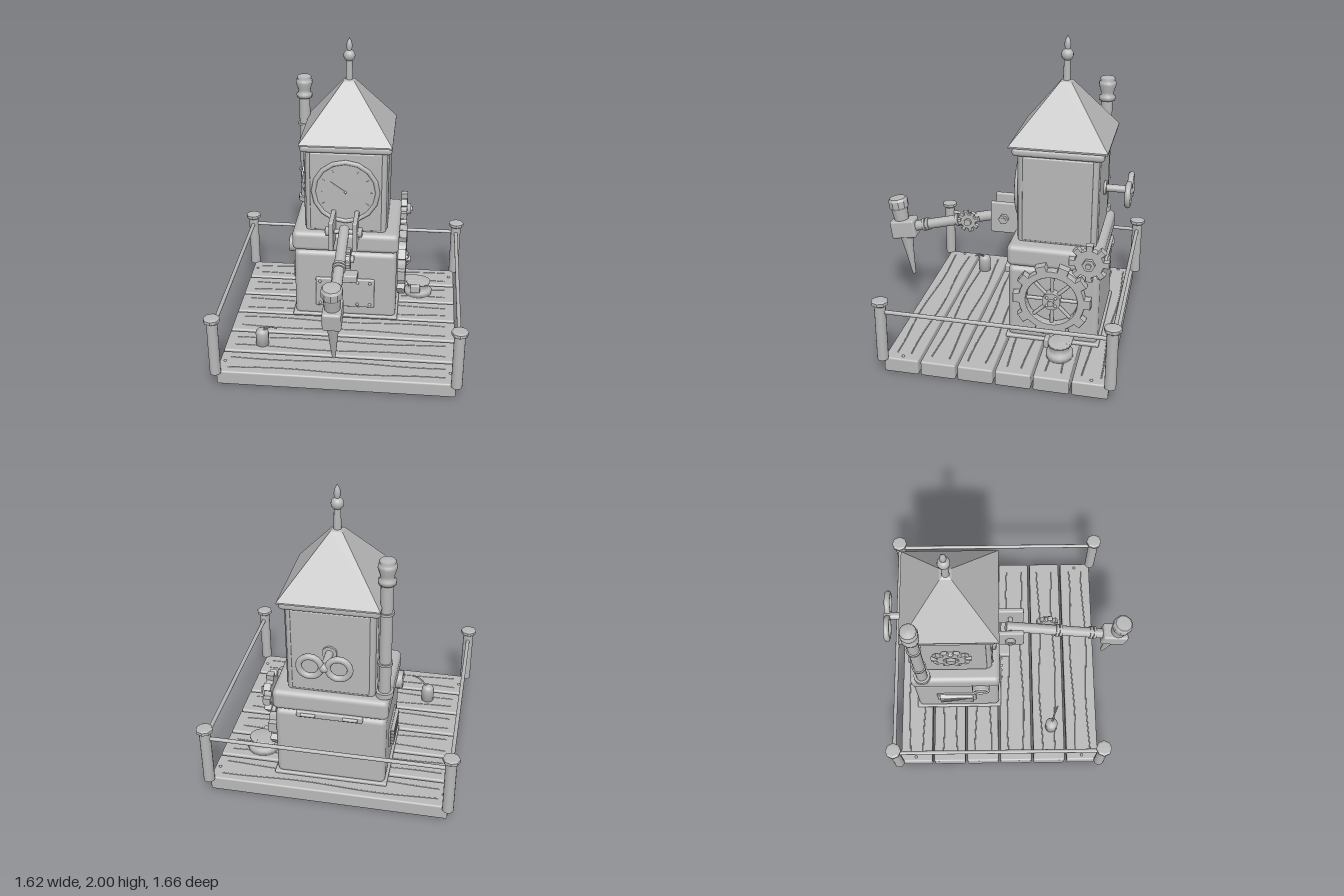
import * as THREE from 'three';
import { RoundedBoxGeometry } from 'three/addons/geometries/RoundedBoxGeometry.js';

export function createModel() {
  const root = new THREE.Group();
  const grey = new THREE.MeshStandardMaterial({ color: 0xb8b8b8 });
  grey.name = 'clay grey';

  // ---- helpers ----
  const add = (name, geo, x = 0, y = 0, z = 0, parent = root) => {
    const m = new THREE.Mesh(geo, grey);
    m.name = name;
    m.position.set(x, y, z);
    parent.add(m);
    return m;
  };
  const flat = g => {
    const n = g.toNonIndexed();
    n.computeVertexNormals();
    return n;
  };
  const rbox = (w, h, d, r = 0.012) => new RoundedBoxGeometry(w, h, d, 3, r);
  const cyl = (r, h, n = 16, r2 = r) => new THREE.CylinderGeometry(r2, r, h, n);
  const cylX = (r, h, n = 16) => cyl(r, h, n).rotateZ(Math.PI / 2);
  const cylZ = (r, h, n = 16) => cyl(r, h, n).rotateX(Math.PI / 2);
  const lathe = (pts, n, phi = 0) =>
    new THREE.LatheGeometry(pts.map(p => new THREE.Vector2(p[0], p[1])), n, phi);
  const tube = (pts, r, n = 16, s = 6) =>
    new THREE.TubeGeometry(new THREE.CatmullRomCurve3(pts.map(p => new THREE.Vector3(...p))), n, r, s);

  // toothed wheel lying across the x axis, centred on its thickness
  const gear = (rRoot, rTip, teeth, thick, hole) => {
    const s = new THREE.Shape(), step = Math.PI * 2 / teeth;
    for (let i = 0; i < teeth; i++) {
      [[-0.5, rRoot], [-0.24, rRoot], [-0.2, rTip], [0.2, rTip], [0.24, rRoot]].forEach(([f, r], k) => {
        const a = (i + f) * step;
        s[i + k ? 'lineTo' : 'moveTo'](Math.cos(a) * r, Math.sin(a) * r);
      });
    }
    s.closePath();
    if (hole) s.holes.push(new THREE.Path().absarc(0, 0, hole, 0, Math.PI * 2, true));
    const g = new THREE.ExtrudeGeometry(s, {
      depth: thick - 0.012, bevelThickness: 0.006, bevelSize: 0.004, bevelSegments: 1, curveSegments: 16
    });
    return g.translate(0, 0, -(thick - 0.012) / 2).rotateY(Math.PI / 2);
  };

  // ---- deck: planks, grain, nails ----
  for (let i = 0; i < 6; i++) {
    const z = 0.517 - i * 0.2346;
    add('plank', rbox(1.51, 0.1, 0.22), 0, 0.05, z);
    [-0.05, 0.052].forEach((dz, k) => {
      const pts = [];
      for (let j = 0; j <= 12; j++) {
        pts.push([-0.69 + j * 0.115, 0.1, z + dz + 0.009 * Math.sin(j * 0.75 + i * 1.7 + k * 2.4)]);
      }
      add('woodGrain', tube(pts, 0.004, 36, 5));
    });
  }
  for (const x of [-0.72, 0.72]) for (const z of [-0.66, 0.513])
    add('nail', new THREE.SphereGeometry(0.01, 8, 6), x, 0.1, z);

  // ---- corner posts and rails (open at the front) ----
  for (const x of [-0.757, 0.757]) {
    for (const z of [-0.777, 0.632]) {
      add('railPost', cyl(0.035, 0.38, 16), x, 0.285, z);
      add('postCap', flat(lathe([[0, 0.468], [0.036, 0.468], [0.053, 0.48], [0.053, 0.5], [0.04, 0.506], [0, 0.507]], 8)), x, 0, z);
    }
    add('sideRail', cylZ(0.013, 1.41, 10), x, 0.425, -0.072);
  }
  add('backRail', cylX(0.013, 1.51, 10), 0, 0.425, -0.777);

  // ---- tower ----
  const cz = -0.355;
  add('footing', rbox(0.72, 0.025, 0.6, 0.01), 0, 0.11, cz);
  add('base', rbox(0.69, 0.5, 0.575, 0.035), 0, 0.355, cz);
  add('shoulder', rbox(0.715, 0.14, 0.595, 0.035), 0, 0.68, cz);
  add('clockRoom', rbox(0.535, 0.62, 0.495, 0.03), 0, 1.04, cz);
  add('frontPanel', rbox(0.47, 0.55, 0.51, 0.01), 0, 1.035, cz);
  add('sidePanel', rbox(0.555, 0.55, 0.43, 0.01), 0, 1.035, cz);
  add('cornice', rbox(0.595, 0.055, 0.56, 0.024), 0, 1.342, cz);
  add('roof', flat(lathe([[0, 1.366], [0.424, 1.366], [0.424, 1.376], [0.05, 1.72], [0, 1.735]], 4, Math.PI / 4)), 0, 0, cz);
  add('finialRod', cyl(0.024, 0.16, 12, 0.02), 0, 1.78, cz);
  add('finialBall', new THREE.SphereGeometry(0.038, 14, 10), 0, 1.882, cz);
  add('finialSpike', lathe([[0.012, 1.905], [0.021, 1.94], [0.016, 1.97], [0, 2]], 10), 0, 0, cz);

  // ---- clock ----
  const clock = new THREE.Group();
  clock.name = 'clock';
  clock.position.set(0, 1.045, -0.095);
  root.add(clock);
  add('clockFace', cylZ(0.21, 0.014, 16), 0, 0, 0, clock);
  add('bezel', new THREE.TorusGeometry(0.21, 0.016, 8, 16), 0, 0, 0.004, clock);
  for (let i = 0; i < 12; i++) {
    const a = i * Math.PI / 6;
    add('hourMark', new THREE.BoxGeometry(0.022, 0.004, 0.004), Math.cos(a) * 0.165, Math.sin(a) * 0.165, 0.008, clock).rotation.z = a;
  }
  add('clockHand', new THREE.BoxGeometry(0.12, 0.008, 0.005), -0.05, 0.035, 0.009, clock).rotation.z = -0.61;
  add('clockPin', new THREE.SphereGeometry(0.009, 8, 6), 0, 0, 0.009, clock);

  // ---- front access plate and ledge ----
  add('accessPlate', rbox(0.4, 0.22, 0.025, 0.01), 0, 0.3, -0.063);
  for (const x of [-0.17, -0.085, 0.085, 0.17]) for (const y of [0.215, 0.385])
    add('plateBolt', new THREE.SphereGeometry(0.011, 8, 6), x, y, -0.05);
  add('ledge', rbox(0.175, 0.055, 0.085, 0.01), 0, 0.446, -0.03);

  // ---- hammer arm ----
  for (const s of [-1, 1]) {
    add('armBracket', rbox(0.03, 0.21, 0.195, 0.01), s * 0.077, 0.812, 0.007);
    add('pivotNut', cylX(0.032, 0.03, 6), s * 0.105, 0.81, 0.015);
  }
  add('pivotPin', cylX(0.016, 0.25, 10), 0, 0.81, 0.015);
  const arm = new THREE.Group();
  arm.name = 'hammerArm';
  arm.position.set(0, 0.81, 0.015);
  arm.rotation.x = 0.245;
  root.add(arm);
  add('armRod', cylZ(0.034, 0.72, 14), 0, 0, 0.33, arm);
  for (const z of [0.32, 0.345, 0.56, 0.585])
    add('armCollar', cylZ(0.043, 0.018, 14), 0, 0, z, arm);
  add('armGear', gear(0.048, 0.07, 8, 0.03), 0.052, 0.002, 0.255, arm);
  add('armGearHub', cylX(0.024, 0.025, 8), 0.075, 0.002, 0.255, arm);

  const head = new THREE.Group();
  head.name = 'hammerHead';
  head.position.set(0, 0.635, 0.722);
  head.rotation.x = 0.15;
  root.add(head);
  add('headBlock', rbox(0.115, 0.125, 0.17, 0.015), 0, 0, 0, head);
  add('headNeck', cyl(0.048, 0.1, 12, 0.056), 0, 0.1, 0.012, head);
  add('headCap', flat(lathe([[0, 0.14], [0.056, 0.14], [0.066, 0.155], [0.066, 0.2], [0.055, 0.215], [0, 0.217]], 10)), 0, 0, 0.012, head);
  add('spike', lathe([[0, -0.36], [0.012, -0.34], [0.03, -0.17], [0.045, -0.055]], 10), 0, 0, 0, head);

  // ---- gears on the left wall ----
  const bz = -0.355, by = 0.42;
  add('largeGear', gear(0.205, 0.243, 10, 0.055, 0.165), 0.377, by, bz);
  add('gearHub', cylX(0.058, 0.06, 14), 0.38, by, bz);
  add('gearAxle', cylX(0.02, 0.1, 10), 0.385, by, bz);
  for (let i = 0; i < 8; i++) {
    const a = i * Math.PI / 4;
    const sp = add('spoke', cyl(0.012, 0.13, 8), 0.375, by + Math.cos(a) * 0.112, bz + Math.sin(a) * 0.112);
    sp.rotation.x = a;
    if (i % 2) add('hubBolt', new THREE.SphereGeometry(0.01, 8, 6), 0.412, by + Math.cos(a) * 0.038, bz + Math.sin(a) * 0.038);
  }
  add('smallGear', gear(0.088, 0.122, 8, 0.045), 0.375, 0.7, -0.58);
  add('smallGearHub', cylX(0.04, 0.035, 6), 0.405, 0.7, -0.58);
  add('smallGearAxle', cylX(0.018, 0.14, 10), 0.365, 0.7, -0.58);
  add('wallStud', cylX(0.02, 0.05, 8), 0.355, 0.61, -0.645);

  // ---- right wall: vent, gauge, dial gear ----
  add('ventFrame', rbox(0.016, 0.14, 0.27, 0.006), -0.348, 0.355, -0.36);
  for (let i = 0; i < 5; i++)
    add('ventSlat', rbox(0.03, 0.012, 0.23, 0.004), -0.362, 0.305 + i * 0.025, -0.36).rotation.z = 0.4;
  add('gauge', cylX(0.058, 0.04, 16), -0.36, 0.6, -0.187);
  add('gaugeRim', new THREE.TorusGeometry(0.05, 0.01, 8, 16).rotateY(Math.PI / 2), -0.38, 0.6, -0.187);
  add('dialPlate', cylX(0.095, 0.02, 16), -0.282, 1.05, -0.36);
  add('dialGear', gear(0.09, 0.125, 10, 0.022, 0.05), -0.293, 1.05, -0.36);
  add('dialKnob', cylX(0.032, 0.05, 10), -0.295, 1.05, -0.36);

  // ---- chimney pipe ----
  const px = -0.322, pz = -0.567;
  add('pipe', cyl(0.037, 0.8, 16), px, 1.15, pz);
  add('pipeFoot', cyl(0.054, 0.035, 16), px, 0.768, pz);
  for (const y of [0.985, 1.33])
    add('pipeBand', cyl(0.046, 0.016, 16), px, y, pz);
  add('pipeCap', lathe([[0, 1.52], [0.052, 1.52], [0.054, 1.545], [0.04, 1.552], [0.042, 1.575], [0.056, 1.62],
    [0.054, 1.64], [0.042, 1.645], [0.05, 1.66], [0.04, 1.67], [0, 1.674]], 14), px, 0, pz);

  // ---- winding key and hatch on the back ----
  add('keyFlange', cylZ(0.045, 0.03, 14), 0, 1.045, -0.61);
  add('keyShaft', cylZ(0.024, 0.18, 12), 0, 1.045, -0.69);
  add('keyHub', new THREE.SphereGeometry(0.03, 12, 8), 0, 1.045, -0.768);
  for (const s of [-1, 1])
    add('keyLoop', new THREE.TorusGeometry(0.066, 0.019, 10, 20), s * 0.084, 1.045, -0.768);
  add('hatchBar', rbox(0.41, 0.045, 0.04, 0.01), 0, 0.605, -0.645);
  for (const x of [-0.13, 0.13])
    add('hatchHinge', cylX(0.012, 0.09, 8), x, 0.605, -0.665);

  // ---- deck fittings ----
  add('bollard', lathe([[0, 0.1], [0.1, 0.1], [0.1, 0.13], [0.085, 0.14], [0.07, 0.145], [0.068, 0.18],
    [0.086, 0.186], [0.086, 0.202], [0, 0.204]], 14).scale(1, 1, 0.85), 0.495, 0, -0.43);
  add('bollardHandle', rbox(0.07, 0.06, 0.03, 0.008), 0.475, 0.18, -0.345);
  add('bollardArm', rbox(0.12, 0.02, 0.09, 0.008), 0.46, 0.195, -0.46);
  add('canister', lathe([[0, 0.1], [0.043, 0.1], [0.043, 0.19], [0.034, 0.207], [0.014, 0.215], [0, 0.216]], 14), -0.513, 0, 0.302);
  add('wick', tube([[-0.513, 0.2, 0.302], [-0.485, 0.225, 0.312], [-0.45, 0.25, 0.325], [-0.402, 0.256, 0.347]], 0.006, 14, 6));

  return root;
}
